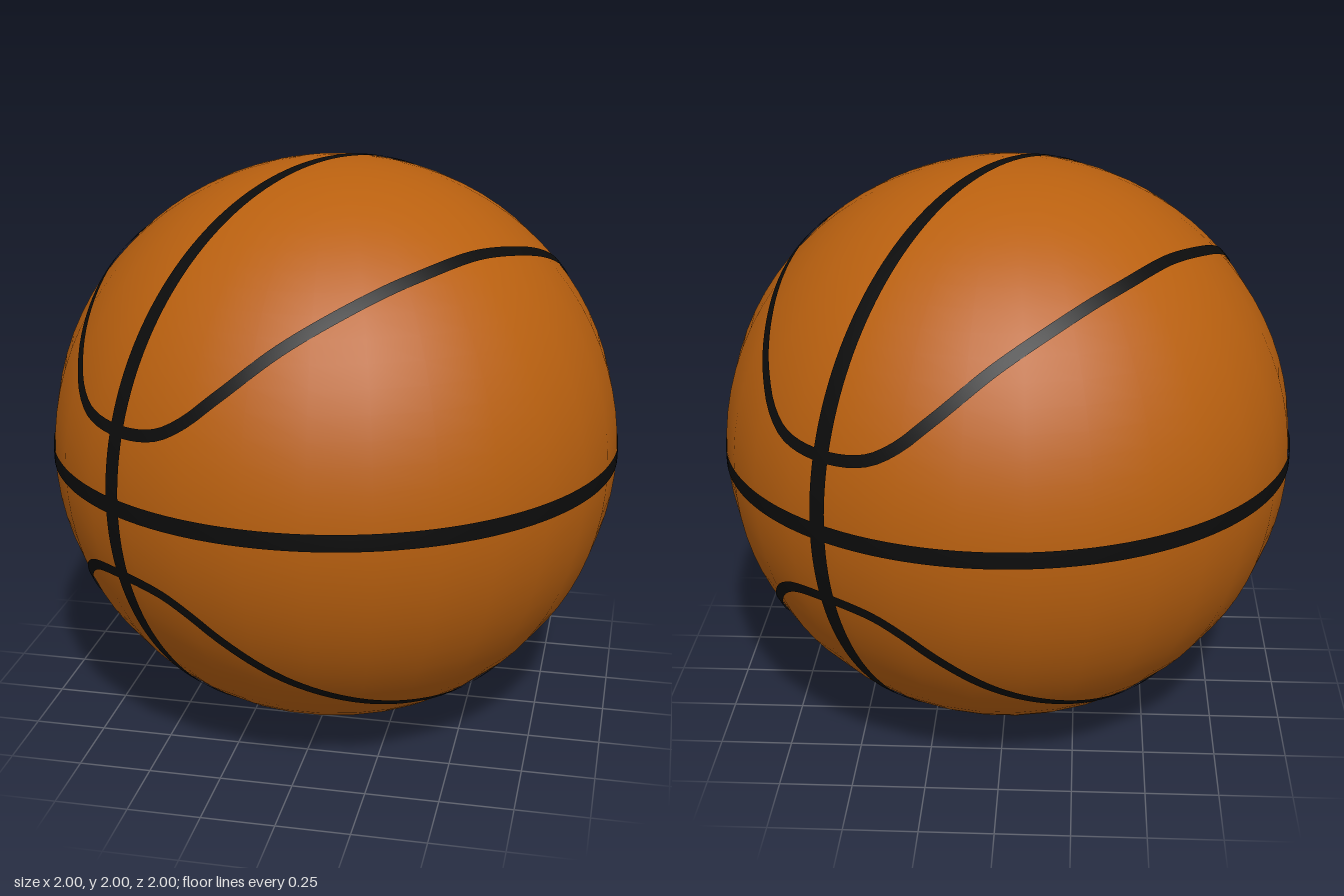
import * as THREE from 'three';

const R = 0.997; // ball radius; seams lie just above it
const SEAM_R = 1.0;
const deg = Math.PI / 180;

// Horizontal axes of the seam pattern: U along the upright ring, V across it
const U = new THREE.Vector3(-0.566, 0, 0.824).normalize();
const V = new THREE.Vector3(0.824, 0, 0.566).normalize();
const UP = new THREE.Vector3(0, 1, 0);

// Unit direction from azimuth (measured from U towards V) and elevation
function direction(azimuth, elevation) {
  const c = Math.cos(elevation);
  return new THREE.Vector3()
    .addScaledVector(U, c * Math.cos(azimuth))
    .addScaledVector(V, c * Math.sin(azimuth))
    .addScaledVector(UP, Math.sin(elevation));
}

// Closed ribbon hugging the ball along path(angle), with the given half width
function seamBand(path, halfWidth, steps = 180) {
  const pos = [], nor = [], idx = [];
  for (let i = 0; i <= steps; i++) {
    const a = (i / steps) * Math.PI * 2;
    const p = path(a);
    const tangent = path(a + 0.005).sub(path(a - 0.005)).normalize();
    const side = new THREE.Vector3().crossVectors(p, tangent).normalize();
    for (const s of [1, 0, -1]) {
      const q = p.clone().addScaledVector(side, s * halfWidth(a)).normalize();
      nor.push(q.x, q.y, q.z);
      q.multiplyScalar(SEAM_R);
      pos.push(q.x, q.y, q.z);
    }
    if (i === steps) break;
    for (let k = 0; k < 2; k++) {
      const l = i * 3 + k, r = l + 1;
      idx.push(r, r + 3, l + 3, r, l + 3, l);
    }
  }
  const g = new THREE.BufferGeometry();
  g.setAttribute('position', new THREE.Float32BufferAttribute(pos, 3));
  g.setAttribute('normal', new THREE.Float32BufferAttribute(nor, 3));
  g.setIndex(idx);
  return g;
}

// Elevation of the curved seam over a quarter turn (azimuth, elevation in degrees)
const quarter = [[0, 14.5], [10, 15.7], [16, 18.9], [22, 24], [34.5, 34], [50, 42], [66, 47], [90, 50]];

// Mirrored about both ends so that the loop stays smooth, then sampled by azimuth
const profile = [
  ...quarter.slice(1, 3).reverse().map(([a, e]) => [-a, e]),
  ...quarter,
  ...quarter.slice(5, 7).reverse().map(([a, e]) => [180 - a, e]),
];
const profileCurve = new THREE.CatmullRomCurve3(profile.map(([a, e]) => new THREE.Vector3(a, e, 0)));
const samples = profileCurve.getPoints(400);

function loopElevation(angle) {
  let a = Math.abs(((angle / deg) % 180 + 180) % 180);
  if (a > 90) a = 180 - a;
  const i = Math.max(1, samples.findIndex((p) => p.x >= a));
  const p = samples[i - 1], q = samples[i];
  return (p.y + ((q.y - p.y) * (a - p.x)) / (q.x - p.x)) * deg;
}

export function createModel() {
  const group = new THREE.Group();
  group.name = 'ball';

  const orange = new THREE.MeshStandardMaterial({ color: 0xb9600f });
  orange.name = 'orange rubber';
  const black = new THREE.MeshStandardMaterial({ color: 0x0c0c0c });
  black.name = 'black seam';
  black.side = THREE.DoubleSide;

  const add = (name, geometry, material) => {
    const mesh = new THREE.Mesh(geometry, material);
    mesh.name = name;
    mesh.position.y = 1;
    group.add(mesh);
  };

  // Ball body
  add('ballBody', new THREE.SphereGeometry(R, 30, 40), orange);

  // Level ring, and upright ring that narrows towards the poles
  add('equatorSeam', seamBand((a) => direction(a, 0), () => 0.029), black);
  add('uprightSeam', seamBand((a) => direction(0, a), (a) => 0.022 + 0.009 * Math.abs(Math.cos(a))), black);

  // Curved loops above and below the level ring
  for (const [name, s] of [['upperCurvedSeam', 1], ['lowerCurvedSeam', -1]]) {
    add(name, seamBand((a) => direction(a, s * loopElevation(a)), () => 0.02), black);
  }

  return group;
}
